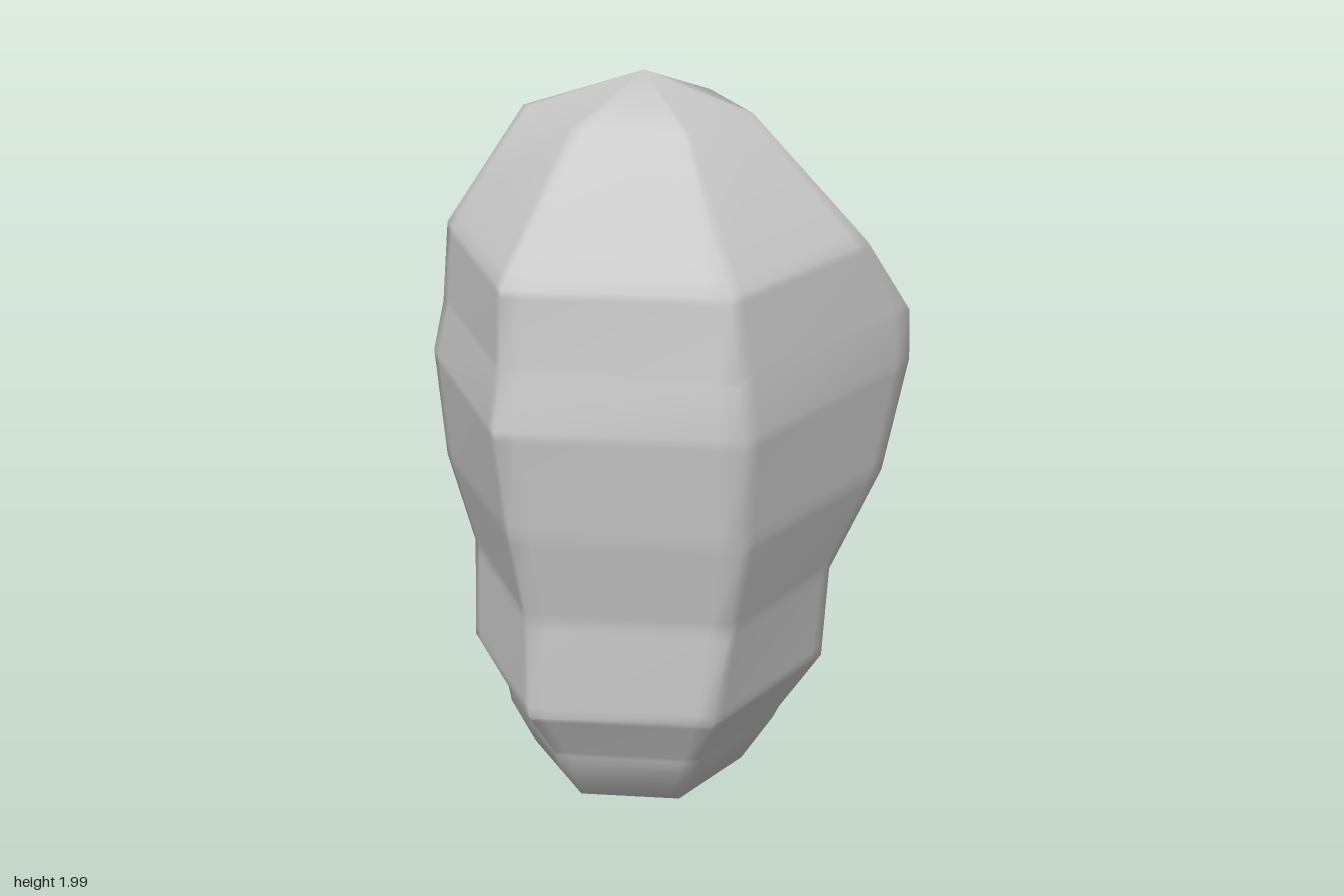
import * as THREE from 'three';

// Cross-sections: height, right x, left x, front corner x (+/-), back corner x (+/-), front z (+/-), back z (+/-)
const SECTIONS = [
  [0.01, 0, 0, 0, 0, 0, 0, 0, 0, 0, 0],
  [0.11, 0.29, -0.28, 0.14, -0.14, 0.14, -0.14, 0.23, 0.23, -0.27, -0.27],
  [0.23, 0.39, -0.37, 0.2, -0.18, 0.19, -0.17, 0.29, 0.3, -0.34, -0.33],
  [0.27, 0.39, -0.38, 0.2, -0.19, 0.19, -0.17, 0.31, 0.32, -0.355, -0.34],
  [0.43, 0.5, -0.49, 0.26, -0.24, 0.24, -0.22, 0.4, 0.41, -0.425, -0.41],
  [0.7, 0.515, -0.49, 0.24, -0.23, 0.23, -0.2, 0.43, 0.45, -0.45, -0.42],
  [0.95, 0.585, -0.55, 0.38, -0.26, 0.25, -0.24, 0.49, 0.505, -0.505, -0.475],
  [1.24, 0.6, -0.6, 0.46, -0.29, 0.33, -0.25, 0.51, 0.53, -0.53, -0.5],
  [1.37, 0.52, -0.57, 0.46, -0.29, 0.35, -0.23, 0.505, 0.51, -0.48, -0.48],
  [1.58, 0.51, -0.56, 0.3, -0.28, 0.38, -0.21, 0.475, 0.475, -0.475, -0.475],
  [1.9, 0.29, -0.28, 0.14, -0.14, 0.14, -0.14, 0.23, 0.23, -0.27, -0.27],
  [2.0, 0, 0, 0, 0, 0, 0, 0, 0, 0, 0],
];

// Six corners of one section, in order around the body from its right-hand end
function corners([y, r, l, fr, fl, br, bl, zfr, zfl, zbr, zbl]) {
  return [[r, -0.05 * r], [fr, zfr], [fl, zfl], [l, -0.04 * l], [bl, zbl], [br, zbr]]
    .map(([x, z]) => new THREE.Vector3(x, y, z));
}

// Loft with extra loops close to each edge, so faces stay flat and edges are softly rounded in shading
function loftGeometry(sections) {
  const around = [0, 0.09, 0.91];
  const expand = (ring) => ring.flatMap((p, i) =>
    around.map((t) => p.clone().lerp(ring[(i + 1) % ring.length], t)));
  const rings = sections.map((s) => expand(corners(s)));
  const tips = [rings.shift()[0], rings.pop()[0]];
  const loops = [];
  rings.forEach((ring, k) => {
    loops.push(ring);
    const next = rings[k + 1];
    if (!next) return;
    // Short bands blend smoothly; the crown stays soft towards its top
    const height = next[0].y - ring[0].y;
    const inner = height < 0.15 ? [] : k === rings.length - 2 ? [0.1] : [0.1, 0.9];
    for (const t of inner) loops.push(ring.map((p, i) => p.clone().lerp(next[i], t)));
  });

  const n = rings[0].length;
  const points = loops.flat();
  const bottom = points.length, top = bottom + 1;
  points.push(...tips);
  const last = (loops.length - 1) * n;
  const index = [];
  for (let i = 0; i < n; i++) {
    const j = (i + 1) % n;
    for (let a = i, b = j; a < last; a += n, b += n) {
      index.push(a, a + n, b, b, a + n, b + n);
    }
    // Close both tips with a single shared point
    index.push(bottom, i, j, top, last + j, last + i);
  }
  const geometry = new THREE.BufferGeometry().setFromPoints(points);
  geometry.setIndex(index);
  geometry.computeVertexNormals();
  return geometry;
}

export function createModel() {
  const group = new THREE.Group();
  const body = new THREE.Mesh(
    loftGeometry(SECTIONS),
    new THREE.MeshStandardMaterial({ color: 0xcccccc })
  );
  body.name = 'facetedBody';
  group.add(body);
  return group;
}
